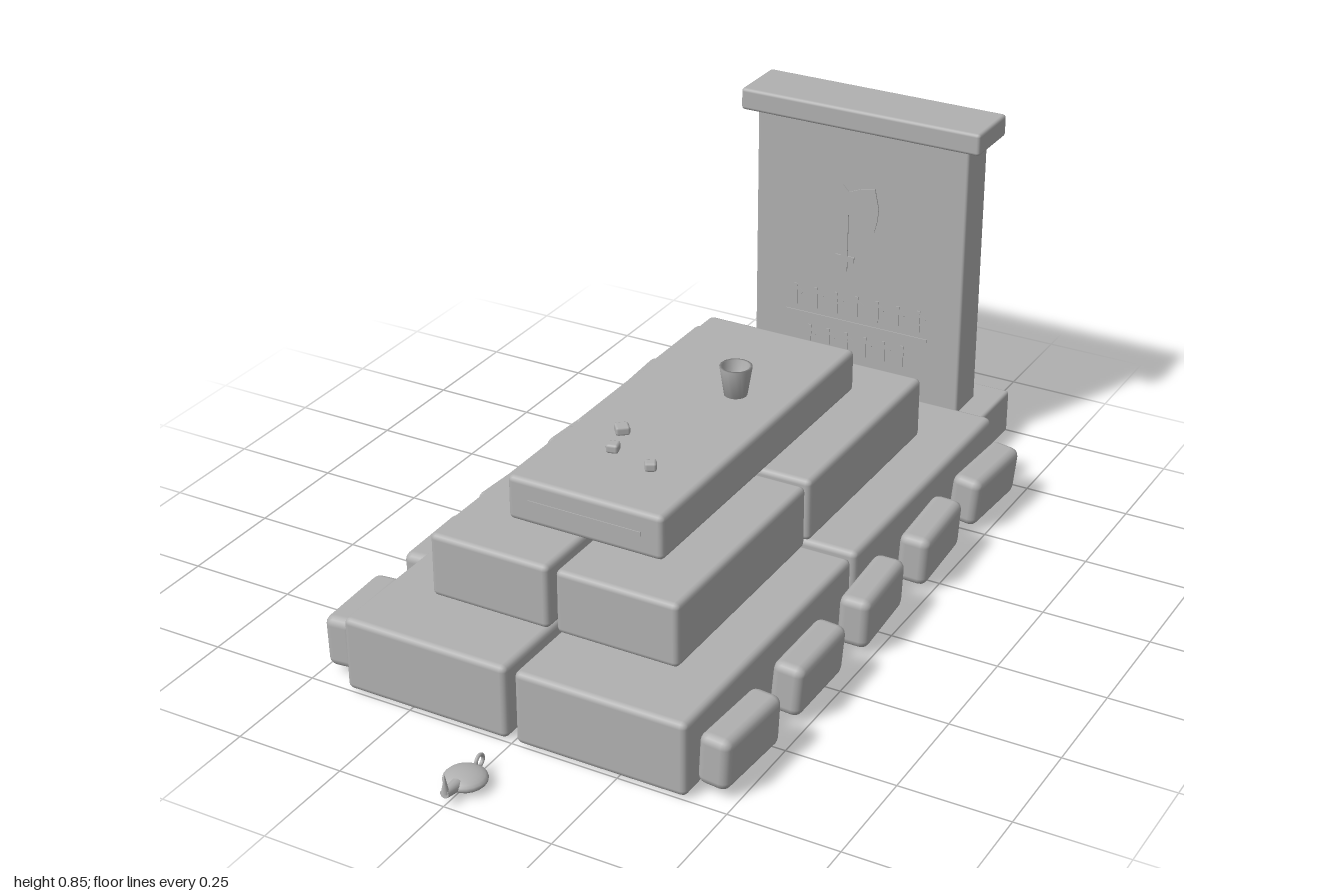
import * as THREE from 'three';
import { RoundedBoxGeometry } from 'three/addons/geometries/RoundedBoxGeometry.js';

export function createModel() {
  const root = new THREE.Group();
  root.name = 'tomb';
  const stone = new THREE.MeshStandardMaterial({ color: 0xb0b0b0, side: THREE.DoubleSide });
  stone.name = 'grey stone';

  const add = (name, geo, x = 0, y = 0, z = 0, parent = root) => {
    const mesh = new THREE.Mesh(geo, stone);
    mesh.name = name;
    mesh.position.set(x, y, z);
    parent.add(mesh);
    return mesh;
  };
  // bevelled block given by its limits on each axis
  const block = (name, x0, x1, y0, y1, z0, z1, bevel) =>
    add(name, new RoundedBoxGeometry(x1 - x0, y1 - y0, z1 - z0, 2, bevel),
      (x0 + x1) / 2, (y0 + y1) / 2, (z0 + z1) / 2);

  // two stepped tiers, each of four blocks, and the lid slab
  for (const s of [-1, 1]) {
    const xs = (a, b) => (s > 0 ? [a, b] : [-b, -a]);
    for (const [z0, z1] of [[-0.73, -0.002], [0.018, 0.752]])
      block('lowerBlock', ...xs(0.01, 0.408), 0.005, 0.178, z0, z1, 0.014);
    for (const [z0, z1] of [[-0.563, 0.004], [0.022, 0.585]])
      block('middleBlock', ...xs(0.009, 0.297), 0.178, 0.328, z0, z1, 0.013);
  }
  block('lidSlab', -0.187, 0.187, 0.328, 0.432, -0.432, 0.452, 0.013);
  add('lidGroove', new THREE.BoxGeometry(0.27, 0.01, 0.004), 0, 0.381, 0.452);

  // kerb stones along both sides, each slightly askew: [yaw, roll, pitch]
  const tilts = {
    '-1': [[0.05, 0.06, 0], [-0.07, 0.05, 0.01], [-0.06, 0.03, 0], [0.02, 0.05, 0], [0.05, 0.04, -0.01]],
    '1': [[-0.05, -0.1, 0], [0.05, -0.06, 0.01], [0.06, -0.04, 0], [0.01, -0.08, -0.01], [-0.05, -0.05, 0]],
  };
  for (const s of [-1, 1]) {
    tilts[s].forEach(([yaw, roll, pitch], i) => {
      const kerb = add('kerbStone', new RoundedBoxGeometry(0.073, 0.12, 0.215, 2, 0.02),
        s * 0.453, 0.08, -0.59 + i * 0.3);
      kerb.rotation.set(pitch, yaw, roll);
    });
  }

  // headstone
  block('headstoneBase', -0.34, 0.34, 0, 0.11, -1, -0.76, 0.008);
  block('headstoneSlab', -0.276, 0.276, 0.1, 0.795, -0.932, -0.827, 0.007);
  block('headstoneCap', -0.31, 0.31, 0.792, 0.846, -0.957, -0.803, 0.008);

  // axe relief on the headstone
  const relief = new THREE.Group();
  relief.name = 'headstoneRelief';
  relief.position.z = -0.827;
  root.add(relief);
  const axe = new THREE.Shape([
    [-0.055, 0.564], [-0.044, 0.569], [-0.044, 0.46], [-0.06, 0.46], [-0.06, 0.445],
    [-0.044, 0.445], [-0.044, 0.42], [-0.028, 0.42], [-0.028, 0.445], [-0.01, 0.445],
    [-0.01, 0.46], [-0.028, 0.46], [-0.028, 0.569], [0.004, 0.556], [0.041, 0.537],
    [0.049, 0.57], [0.051, 0.6], [0.04, 0.649], [0.006, 0.642], [-0.028, 0.628],
    [-0.044, 0.644], [-0.057, 0.631], [-0.047, 0.618],
  ].map(([x, y]) => new THREE.Vector2(x, y)));
  add('axeRelief', new THREE.ExtrudeGeometry(axe, { depth: 0.003, bevelEnabled: false }), 0, 0, 0, relief);

  // dividing line with a row of notches above and below
  add('dividingLine', new THREE.BoxGeometry(0.38, 0.008, 0.005), 0, 0.283, 0, relief);
  for (const [count, half, y] of [[7, 0.165, 0.33], [6, 0.125, 0.227]]) {
    for (let i = 0; i < count; i++) {
      const x = -half + (2 * half * i) / (count - 1);
      add('notch', new THREE.BoxGeometry(0.008, 0.056, 0.005), x, y, 0, relief);
      add('notchTick', new THREE.BoxGeometry(0.02, 0.007, 0.005), x + 0.01, y + 0.012, 0, relief)
        .rotation.z = -0.6;
    }
  }

  // cup standing on the lid
  const cup = [[0, 0], [0.026, 0], [0.037, 0.07], [0.031, 0.07], [0.023, 0.012], [0, 0.012]];
  add('cup', new THREE.LatheGeometry(cup.map(([r, y]) => new THREE.Vector2(r, y)), 16), 0.055, 0.431, -0.105);

  // pebbles on the lid
  for (const [x, z, turn, size] of [[-0.07, 0.175, 0.7, 0.032], [-0.045, 0.255, 0.25, 0.028], [0.065, 0.287, 0.5, 0.026]])
    add('pebble', new RoundedBoxGeometry(size, 0.021, size, 1, 0.006), x, 0.443, z).rotation.y = turn;

  // small oil lamp in front: body, spout, flame and ring handle
  const lamp = new THREE.Group();
  lamp.name = 'oilLamp';
  lamp.position.set(0, 0.02, 0.92);
  root.add(lamp);
  add('lampBody', new THREE.SphereGeometry(0.047, 20, 12), 0, 0, 0, lamp).scale.y = 0.38;
  const spout = add('lampSpout', new THREE.CylinderGeometry(0.01, 0.014, 0.045, 10), 0, 0.005, 0.053, lamp);
  spout.rotation.x = Math.PI / 2 - 0.1;
  add('lampFlame', new THREE.ConeGeometry(0.009, 0.045, 8), 0, 0.03, 0.072, lamp);
  const handle = add('lampHandle', new THREE.TorusGeometry(0.013, 0.004, 8, 16), 0, 0.01, -0.052, lamp);
  handle.rotation.y = Math.PI / 2;

  return root;
}
